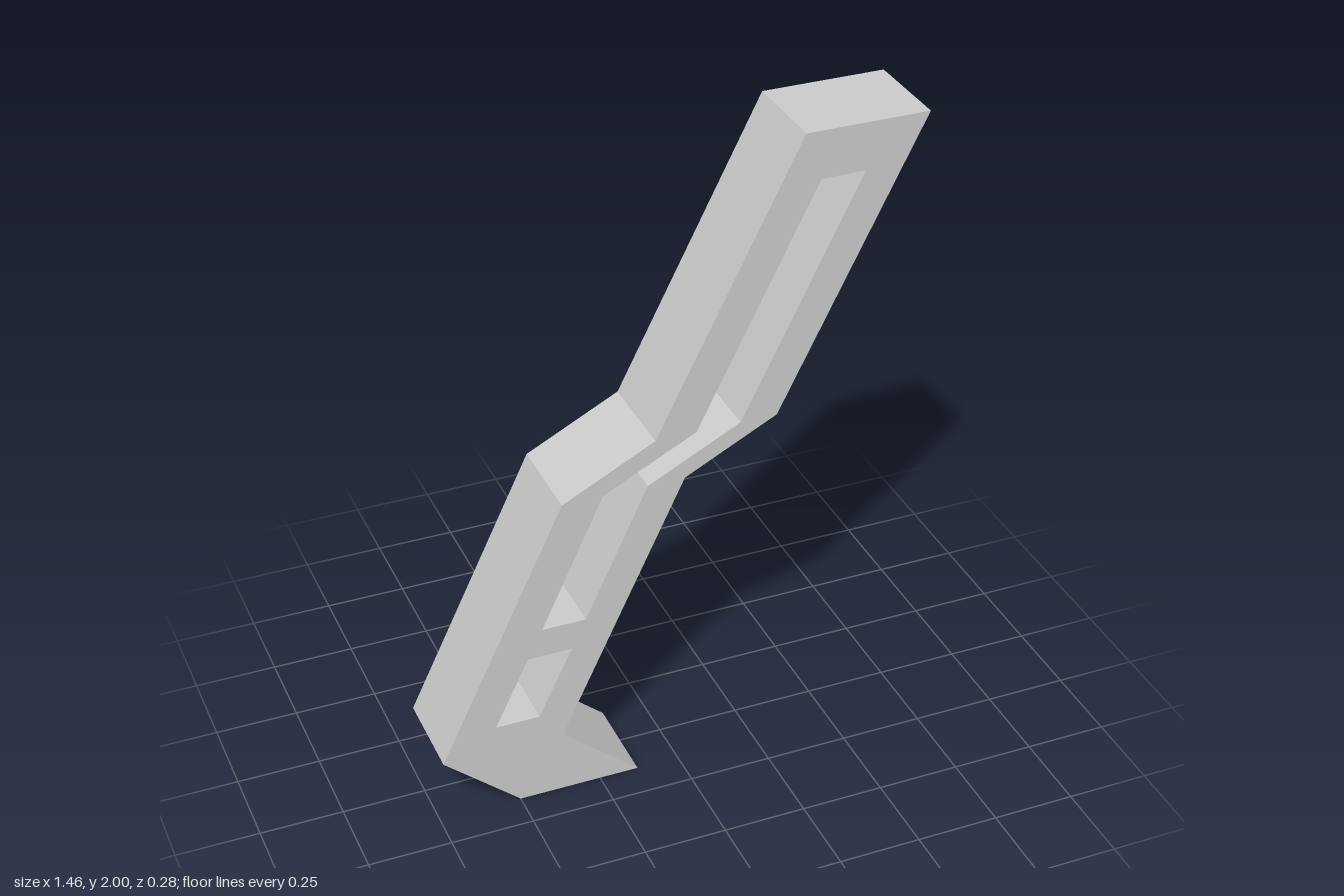
import * as THREE from 'three';

const toPoints = (pairs) => pairs.map(([x, y]) => new THREE.Vector2(x, y));

export function createModel() {
  const depth = 0.284;

  // Cranked outline, counter-clockwise from the foot
  const outline = new THREE.Shape(toPoints([
    [-0.5, 0], [-0.13, 0], [-0.363, 0.2], [0.018, 1], [0.297, 1.143],
    [0.728, 2], [0.36, 2], [-0.071, 1.143], [-0.35, 1], [-0.73, 0.2],
  ]));

  // Long slot following the crank, and the short window below it
  const longSlot = [
    [-0.418, 0.593], [-0.228, 1], [0.052, 1.143], [0.41, 1.857],
    [0.542, 1.857], [0.186, 1.143], [-0.094, 1], [-0.286, 0.593],
  ];
  const window = [[-0.567, 0.286], [-0.463, 0.502], [-0.33, 0.502], [-0.434, 0.286]];
  for (const hole of [longSlot, window]) outline.holes.push(new THREE.Path(toPoints(hole)));

  const geometry = new THREE.ExtrudeGeometry(outline, { depth, bevelEnabled: false });
  geometry.translate(0, 0, -depth / 2);

  const frame = new THREE.Mesh(
    geometry,
    new THREE.MeshStandardMaterial({ color: 0xcccccc, flatShading: true }),
  );
  frame.name = 'slottedFrame';

  const group = new THREE.Group();
  group.name = 'crankedBracket';
  group.add(frame);
  return group;
}
